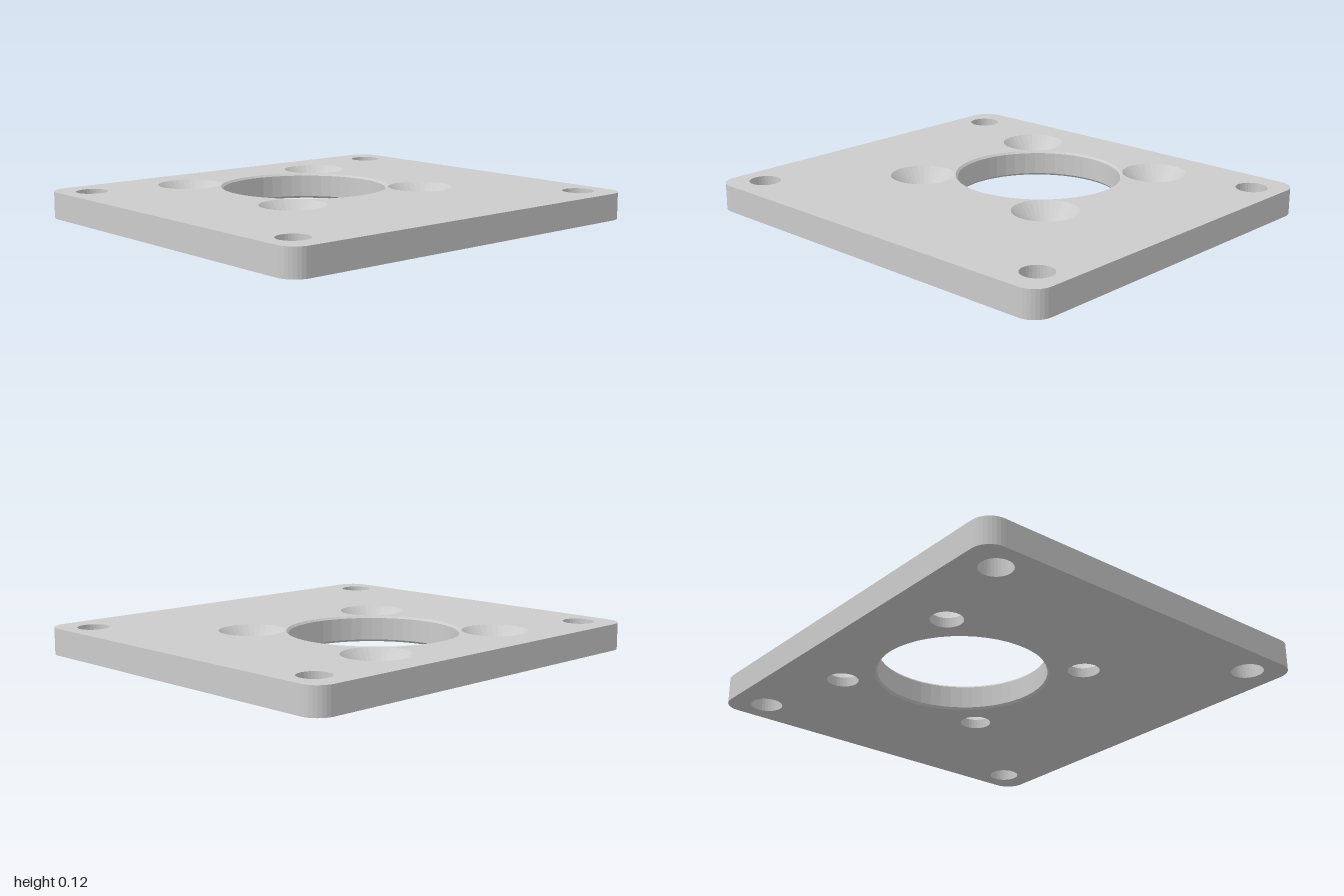
import * as THREE from 'three';
import { mergeGeometries } from 'three/addons/utils/BufferGeometryUtils.js';

const W = 0.9, D = 1, H = 0.125, CORNER = 0.09;

// Each hole is a profile of [radius, height], from the top face to the bottom face
const through = [[0.073, H], [0.073, 0]];
const countersunk = [[0.152, H], [0.072, 0.045], [0.072, 0]];
const bore = [[0.396, H], [0.386, H - 0.01], [0.386, 0.01], [0.396, 0]];

const holes = [{ x: -0.225, z: 0, profile: bore, sides: 48 }];
for (const sx of [-1, 1]) {
  for (const sz of [-1, 1]) {
    holes.push({ x: sx * 0.735, z: sz * 0.857, profile: through, sides: 32 });
    holes.push({ x: -0.225 + sx * 0.389, z: sz * 0.389, profile: countersunk, sides: 32 });
  }
}

// Rounded rectangle, counter-clockwise
function outlinePoints() {
  const points = [], steps = 8;
  [[1, 1], [-1, 1], [-1, -1], [1, -1]].forEach(([sx, sy], quarter) => {
    for (let i = 0; i <= steps; i++) {
      const a = (quarter + i / steps) * Math.PI / 2;
      points.push(new THREE.Vector2(
        sx * (W - CORNER) + CORNER * Math.cos(a),
        sy * (D - CORNER) + CORNER * Math.sin(a)));
    }
  });
  return points;
}

// Flat face with the hole rims cut out; side is 1 for the top, -1 for the bottom
function face(outline, side) {
  const shape = new THREE.Shape(outline);
  for (const { x, z, profile, sides } of holes) {
    const r = profile[side > 0 ? 0 : profile.length - 1][0];
    const rim = [];
    for (let i = 0; i < sides; i++) {
      const a = i / sides * Math.PI * 2;
      rim.push(new THREE.Vector2(x + r * Math.sin(a), -side * z + r * Math.cos(a)));
    }
    shape.holes.push(new THREE.Path(rim));
  }
  return new THREE.ShapeGeometry(shape)
    .rotateX(-side * Math.PI / 2)
    .translate(0, side > 0 ? H : 0, 0);
}

// Vertical wall around the outline
function edgeWall(outline) {
  const positions = [];
  outline.forEach((p, i) => {
    const q = outline[(i + 1) % outline.length];
    for (const [v, y] of [[p, 0], [q, 0], [q, H], [p, 0], [q, H], [p, H]]) {
      positions.push(v.x, y, -v.y);
    }
  });
  const geometry = new THREE.BufferGeometry();
  geometry.setAttribute('position', new THREE.Float32BufferAttribute(positions, 3));
  return geometry;
}

// Inward-facing hole lining
function lining({ x, z, profile, sides }) {
  return new THREE.LatheGeometry(profile.map(([r, y]) => new THREE.Vector2(r, y)), sides)
    .translate(x, 0, z);
}

export function createModel() {
  const group = new THREE.Group();
  group.name = 'mountingPlate';
  const material = new THREE.MeshStandardMaterial({ color: 0xcccccc, flatShading: true });
  const outline = outlinePoints();

  const parts = [face(outline, 1), face(outline, -1), edgeWall(outline), ...holes.map(lining)]
    .map((part) => {
      const geometry = part.index ? part.toNonIndexed() : part;
      geometry.deleteAttribute('uv');
      geometry.computeVertexNormals();
      return geometry;
    });

  const plate = new THREE.Mesh(mergeGeometries(parts), material);
  plate.name = 'plate';
  group.add(plate);
  return group;
}
